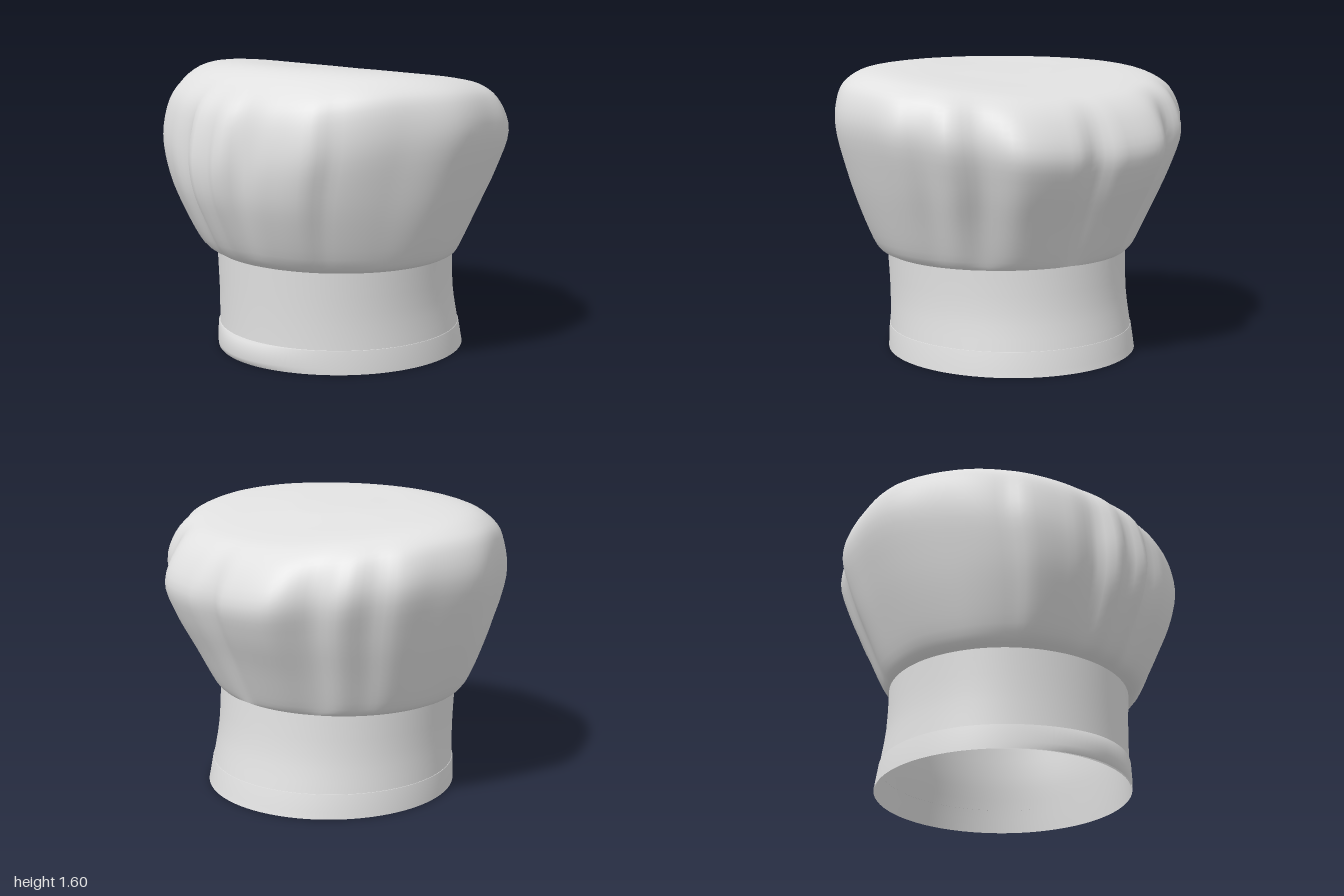
import * as THREE from 'three';

const SEG = 144;

// Smooth skin through rings [yLeft, yMiddle, yRight, xLeft, xRight, halfDepth, foldDepth]
function skin(rings, fold = () => 0, cap = null) {
  const pos = [], idx = [];
  for (const [yl, ym, yr, xl, xr, rz, amp = 0] of rings) {
    const cx = (xl + xr) / 2, rx = (xr - xl) / 2;
    for (let i = 0; i < SEG; i++) {
      const a = (i / SEG) * Math.PI * 2, u = Math.cos(a);
      const k = 1 + amp * fold(a);
      const y = ym + u * (yr - yl) / 2 + u * u * ((yr + yl) / 2 - ym);
      pos.push(cx + rx * u * k, y, rz * Math.sin(a) * k);
    }
  }
  for (let r = 0; r < rings.length - 1; r++) {
    for (let i = 0; i < SEG; i++) {
      const j = (i + 1) % SEG, a = r * SEG + i, b = r * SEG + j;
      idx.push(a, a + SEG, b, b, a + SEG, b + SEG);
    }
  }
  if (cap) {
    const c = pos.length / 3, base = (rings.length - 1) * SEG;
    pos.push(...cap);
    for (let i = 0; i < SEG; i++) idx.push(base + i, c, base + (i + 1) % SEG);
  }
  const g = new THREE.BufferGeometry();
  g.setAttribute('position', new THREE.Float32BufferAttribute(pos, 3));
  g.setIndex(idx);
  g.computeVertexNormals();
  return g;
}

// Resample rings along smooth curves
function refine(rings, steps) {
  const out = [], n = rings.length - 1;
  for (let s = 0; s <= n * steps; s++) {
    const i = Math.min(Math.floor(s / steps), n - 1), t = s / steps - i;
    const at = (k) => rings[Math.max(0, Math.min(n, k))];
    out.push(at(i).map((p1, c) => {
      const p0 = at(i - 1)[c], p2 = at(i + 1)[c], p3 = at(i + 2)[c];
      return p1 + 0.5 * t * (p2 - p0 + t * (2 * p0 - 5 * p1 + 4 * p2 - p3 + t * (3 * (p1 - p2) + p3 - p0)));
    }));
  }
  return out;
}

// Gathers of the crown: [degrees from the left side, bulge], mirrored front to back
const FOLDS = [
  [0, -0.044], [8, 0.007], [24, 0.038], [38, -0.05], [47, 0.01], [56, -0.023],
  [64, 0.014], [77, -0.006], [93, 0.01], [115, -0.042], [135, -0.03], [143, 0.014],
  [157, -0.011], [167, -0.052], [174, 0.017], [180, -0.02],
];
function gathers(a) {
  const d = THREE.MathUtils.radToDeg(Math.min(a, Math.PI * 2 - a));
  const i = Math.max(1, FOLDS.findIndex(([deg]) => deg >= d - 1e-6));
  const [d0, k0] = FOLDS[i - 1], [d1, k1] = FOLDS[i];
  return THREE.MathUtils.lerp(k0, k1, THREE.MathUtils.smoothstep(d, d0, d1));
}

// The hem stands off only around the right side
const looseSide = (a) => Math.max(0, -Math.cos(a)) ** 10;

export function createModel() {
  const hat = new THREE.Group();
  const cloth = new THREE.MeshStandardMaterial({ color: 0xe0e0e0, side: THREE.DoubleSide });
  cloth.name = 'white cloth';
  const add = (name, geometry) => {
    const mesh = new THREE.Mesh(geometry, cloth);
    mesh.name = name;
    hat.add(mesh);
  };

  // Head band, open below
  add('headBand', skin(refine([
    [0, 0, 0, -0.66, 0.74, 0.69],
    [0.13, 0.13, 0.13, -0.655, 0.71, 0.68],
    [0.33, 0.33, 0.33, -0.655, 0.665, 0.67],
    [0.57, 0.57, 0.57, -0.66, 0.64, 0.68],
  ], 3)));

  // Turned-up hem
  add('hem', skin([
    [0, 0, 0, -0.664, 0.744, 0.694, 0.015],
    [0.035, 0.035, 0.035, -0.663, 0.735, 0.692, 0.053],
    [0.13, 0.13, 0.13, -0.66, 0.714, 0.684, 0.045],
    [0.131, 0.131, 0.131, -0.655, 0.709, 0.68, 0],
  ], looseSide));

  // Puffed crown with a sloping top
  add('crown', skin(refine([
    [0.55, 0.55, 0.55, -0.655, 0.64, 0.68, 0],
    [0.61, 0.6, 0.6, -0.74, 0.67, 0.745, 0.35],
    [0.8, 0.8, 0.8, -0.84, 0.765, 0.835, 0.7],
    [0.97, 1.03, 1.0, -0.905, 0.865, 0.92, 0.95],
    [1.15, 1.28, 1.16, -0.92, 0.91, 0.99, 1],
    [1.36, 1.45, 1.32, -0.875, 0.845, 0.965, 0.6],
    [1.485, 1.53, 1.425, -0.785, 0.74, 0.885, 0.2],
    [1.57, 1.567, 1.47, -0.66, 0.6, 0.75, 0],
    [1.603, 1.575, 1.505, -0.5, 0.42, 0.5, 0],
    [1.585, 1.572, 1.545, -0.25, 0.2, 0.25, 0],
  ], 4), gathers, [-0.02, 1.57, 0]));

  return hat;
}
